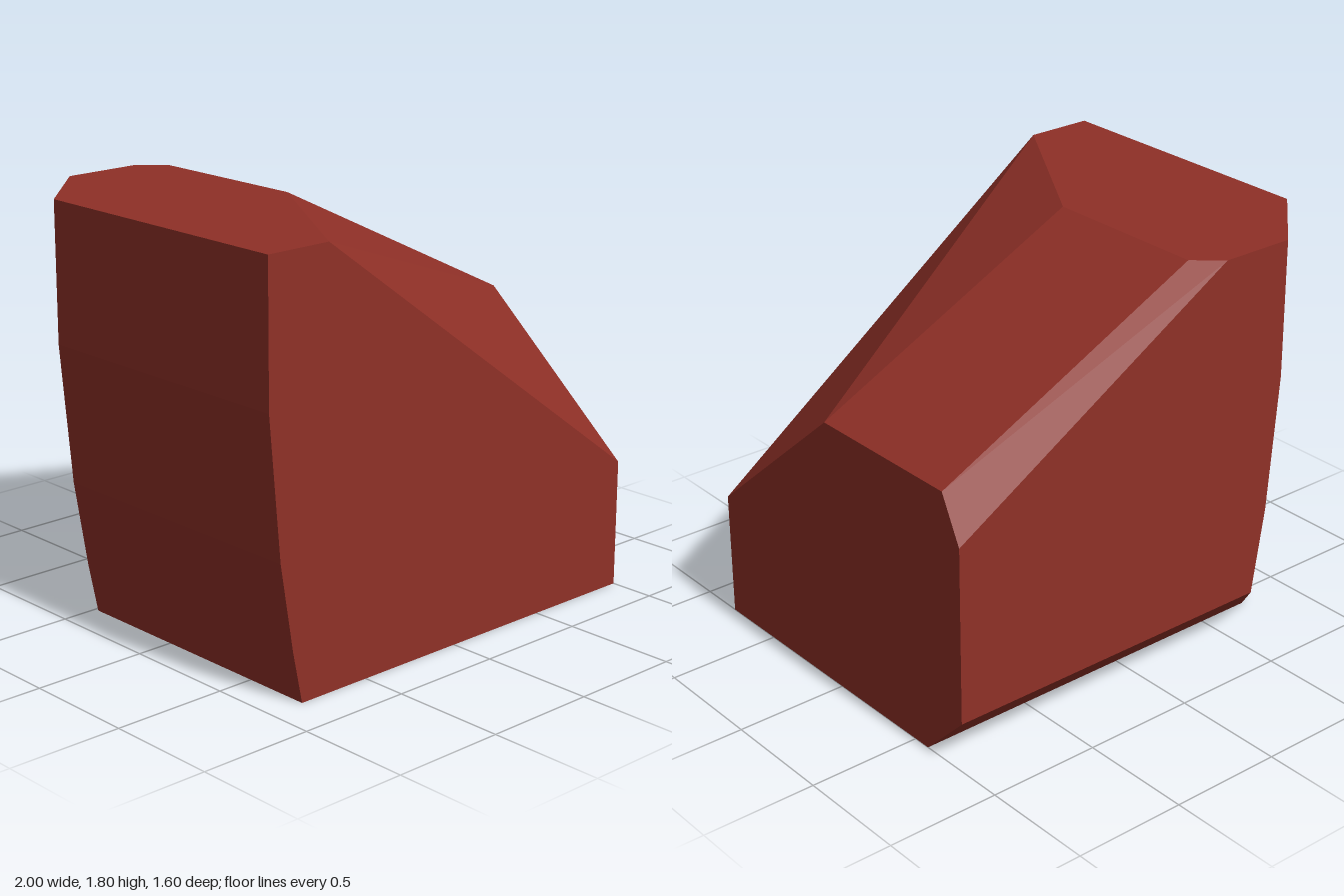
import * as THREE from 'three';
import { ConvexGeometry } from 'three/addons/geometries/ConvexGeometry.js';

export function createModel() {
  const group = new THREE.Group();
  group.name = 'bevelledBlock';
  const paint = new THREE.MeshStandardMaterial({ color: 0x8f3027 });
  paint.name = 'brick red';

  const corners = [];
  const add = (x, y, z) => corners.push(new THREE.Vector3(x, y, z));

  // curved -x side, from the top down: [x, y, z of the back end of the corner chamfer]
  const side = [
    [-1, 1.8, -0.8], [-1, 1.2, -0.8], [-0.947, 0.6, -0.8],
    [-0.885, 0.22, -0.8], [-0.84, 0, -0.58],
  ];
  const chamferStart = -0.48;
  for (const [x, y, back] of side) {
    add(x, y, 0.8);
    add(x, y, chamferStart);
    add(x + chamferStart - back, y, back);
  }

  // top edge, ending in the front and back slopes
  add(-0.7, 1.8, 0.8);
  add(-0.23, 1.8, 0.05);
  add(-0.23, 1.8, -0.7);
  add(-0.345, 1.8, -0.8);

  // flat +x end, as a [y, z] outline
  const end = [[0, 0.8], [0.56, 0.8], [1.2, 0.05], [1.2, -0.7], [1, -0.8], [0.22, -0.8], [0, -0.58]];
  for (const [y, z] of end) add(1, y, z);

  const body = new THREE.Mesh(new ConvexGeometry(corners), paint);
  body.name = 'body';
  group.add(body);
  return group;
}
